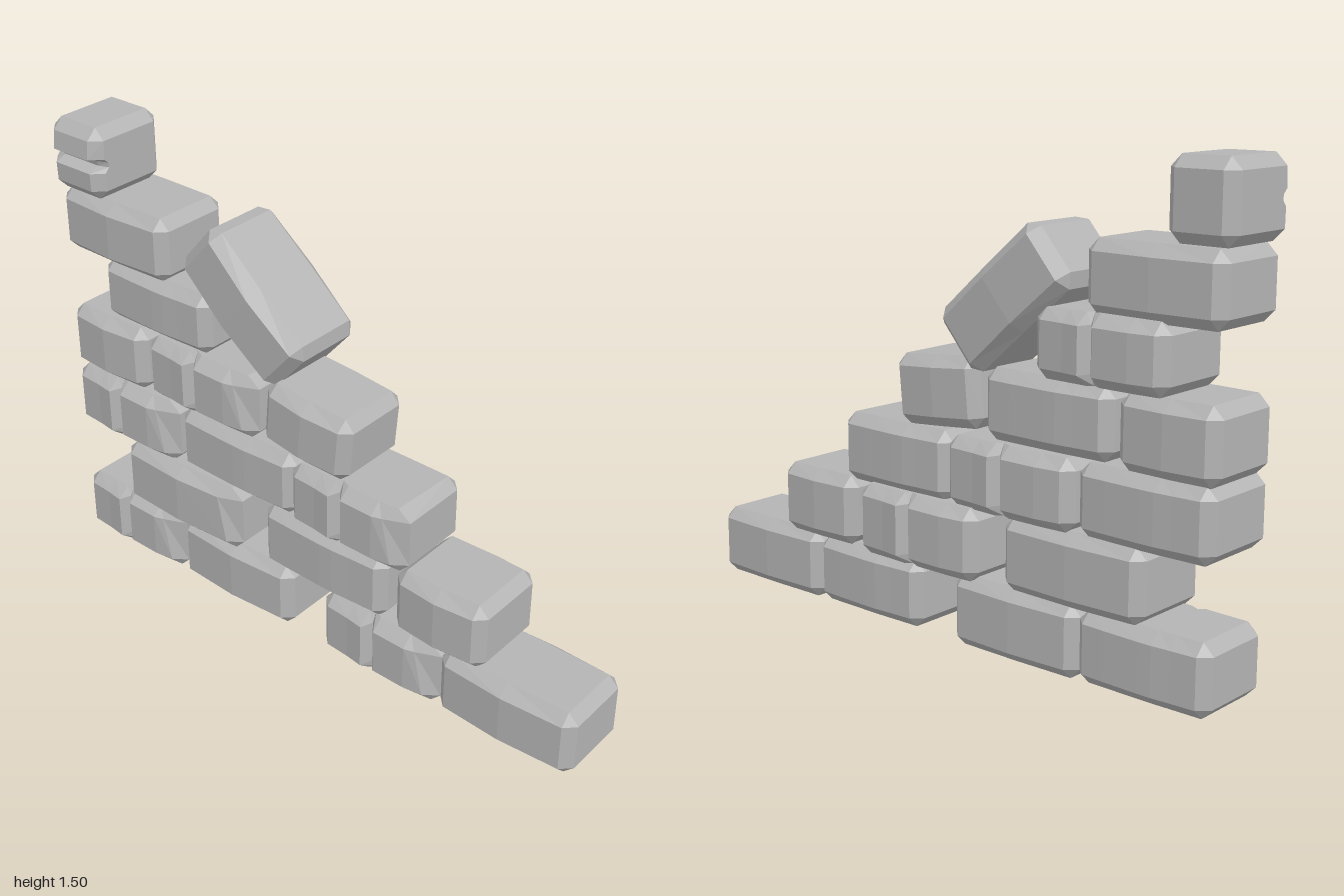
import * as THREE from 'three';

const stone = new THREE.MeshStandardMaterial({ color: 0xb4b4b4 });
stone.name = 'stone grey';
stone.flatShading = true;

// Stations along a brick: [fraction of length, front bulge, back bulge]
const PLAIN = [[0.5, 0.012, 0.008]];
const CRACKED = [
  [0.26, 0.006, 0.004], [0.39, 0.014, 0.008], [0.425, -0.028, 0.008],
  [0.49, 0.008, 0.008], [0.75, 0.01, 0.004],
];

// Chamfered brick lofted along x from eight-sided cross-sections
function brickGeometry(L, H, D, stations, slanted) {
  const c = 0.034, Y = H / 2, Z = D / 2 - 0.011, X = L / 2;
  const section = (x, front, back, cap, slant) => {
    const y1 = Y - c, z1 = Z - c, yo = cap ? y1 : Y, zo = cap ? z1 : Z;
    const pts = [
      [yo, z1], [y1, zo], [-y1, zo], [-yo, z1],
      [-yo, -z1], [-y1, -zo], [y1, -zo], [yo, -z1],
    ];
    return pts.map(([y, z], j) => {
      const w = j % 4 === 0 || j % 4 === 3 ? 0.4 : 1;
      const dx = slant ? [-0.01, -0.045, -0.012, 0, 0, 0, 0, 0][j] : 0;
      return new THREE.Vector3(x + dx, y, z + (j < 4 ? front : -back) * w);
    });
  };
  const rings = [
    section(-X, 0, 0, true), section(-X + c, 0, 0),
    ...stations.map(([t, f, b]) => section(-X + L * t, f, b)),
    section(X - c, 0, 0, false, slanted), section(X, 0, 0, true),
  ];
  const pos = [];
  const tri = (a, b, d) => {
    if (new THREE.Triangle(a, b, d).getArea() < 1e-8) return;
    for (const p of [a, b, d]) pos.push(p.x, p.y, p.z);
  };
  for (let i = 0; i < rings.length - 1; i++) {
    for (let j = 0; j < 8; j++) {
      const k = (j + 1) % 8, a = rings[i], b = rings[i + 1];
      tri(a[j], a[k], b[k]);
      tri(a[j], b[k], b[j]);
    }
  }
  // End faces
  const s = rings[0], e = rings[rings.length - 1];
  tri(e[0], e[2], e[4]); tri(e[0], e[4], e[6]);
  tri(s[0], s[4], s[2]); tri(s[0], s[6], s[4]);
  const g = new THREE.BufferGeometry();
  g.setAttribute('position', new THREE.Float32BufferAttribute(pos, 3));
  g.computeVertexNormals();
  return g;
}

// Courses: x0, x1, y0, y1, z0, z1, crack side (1 front, -1 back), slanted end
const COURSES = [
  [
    [-0.97, -0.522, 0.005, 0.222, -0.145, 0.16, 1, true],
    [-0.525, -0.053, 0, 0.224, -0.145, 0.155],
    [0.08, 0.528, 0.005, 0.222, -0.145, 0.16, 1, true],
    [0.525, 1, 0, 0.224, -0.145, 0.155],
  ], [
    [-0.75, -0.25, 0.215, 0.44, -0.15, 0.175, 0, true],
    [-0.167, 0.315, 0.215, 0.44, -0.175, 0.15, -1],
    [0.353, 0.68, 0.215, 0.44, -0.155, 0.155],
  ], [
    [-0.97, -0.52, 0.433, 0.65, -0.15, 0.165, 1, true],
    [-0.513, -0.04, 0.433, 0.65, -0.16, 0.15, -1],
    [-0.045, 0.4, 0.433, 0.65, -0.15, 0.165, 1, true],
  ], [
    [-0.98, -0.653, 0.645, 0.866, -0.15, 0.155],
    [-0.636, -0.18, 0.656, 0.87, -0.15, 0.16, 1, true],
  ], [
    [-0.83, -0.382, 0.867, 1.07, -0.175, 0.14, -1],
  ], [
    [-0.992, -0.545, 1.06, 1.27, -0.16, 0.145],
  ],
];

export function createModel() {
  const wall = new THREE.Group();
  wall.name = 'brokenBrickWall';
  const add = (name, parent, L, H, D, x, y, z, angle, stations, slanted) => {
    const m = new THREE.Mesh(brickGeometry(L, H, D, stations, slanted), stone);
    m.name = name;
    m.position.set(x, y, z);
    m.rotation.z = angle;
    parent.add(m);
    return m;
  };

  // Laid bricks
  COURSES.forEach((row, r) => {
    const course = new THREE.Group();
    course.name = `course${r + 1}`;
    wall.add(course);
    for (const [x0, x1, y0, y1, z0, z1, crack = 0, slanted = false] of row) {
      const m = add(crack ? 'crackedBrick' : 'brick', course, x1 - x0, y1 - y0, z1 - z0,
        (x0 + x1) / 2, (y0 + y1) / 2, (z0 + z1) / 2, 0, crack ? CRACKED : PLAIN, slanted);
      if (crack < 0) m.rotation.y = Math.PI;
    }
  });

  // Loose half brick, leaning slightly
  add('looseHalfBrick', wall, 0.33, 0.215, 0.3, 0.01, 0.767, 0.005, -0.09, PLAIN, false);
  // Fallen brick resting at a slant
  add('fallenBrick', wall, 0.475, 0.225, 0.3, -0.26, 1.072, -0.02, -0.715, PLAIN, false);
  // Top brick standing on end, split across its front
  add('topBrick', wall, 0.23, 0.215, 0.298, -0.8925, 1.385, 0.012, Math.PI / 2,
    [[0.4, 0.002, 0], [0.47, -0.035, 0], [0.54, -0.03, 0], [0.6, 0.008, 0]], false);
  return wall;
}
